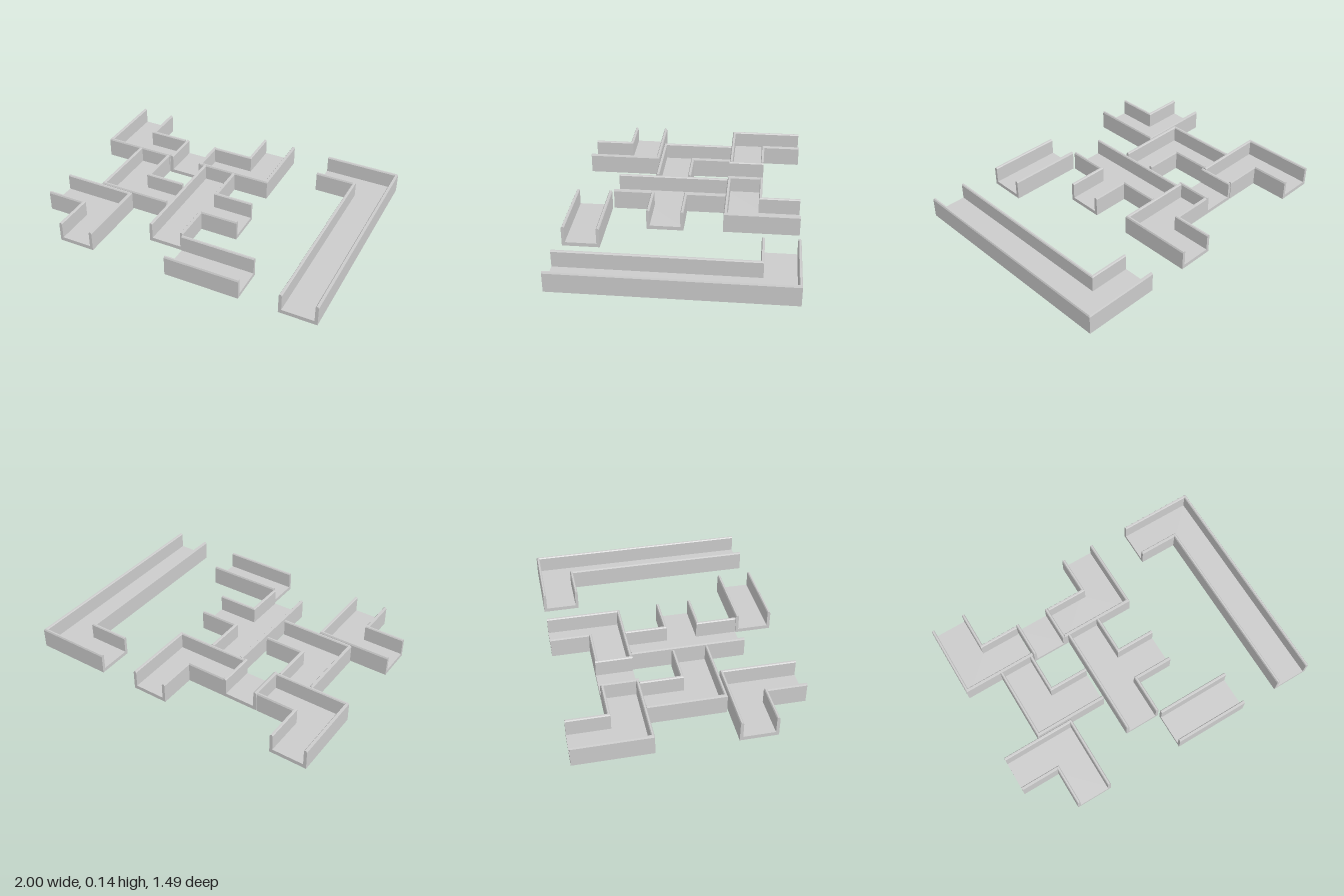
import * as THREE from 'three';

const FLOOR = 0.025;

// Wall cross-section: [distance inward from the outer face, height]
const SECTION = [[0, FLOOR], [0, 0.125], [0.005, 0.135], [0.015, 0.135], [0.02, 0.128], [0.02, FLOOR]];

// Each channel is a list of wall runs [x, z], clockwise from above; gaps between runs are open ends.
const CHANNELS = {
  cornerBackRight: [
    [[-0.755, -0.745], [-0.755, -0.495], [-0.505, -0.495]],
    [[-0.505, -0.255], [-1, -0.255], [-1, -0.745]],
  ],
  shortLink: [
    [[-0.26, -0.495], [-0.26, -0.255]],
    [[-0.5, -0.255], [-0.5, -0.495]],
  ],
  cornerBackMiddle: [
    [[-0.26, -0.495], [0, -0.495], [0, -0.745]],
    [[0.24, -0.745], [0.24, -0.255], [-0.26, -0.255]],
  ],
  cornerMiddle: [
    [[-0.51, -0.255], [-0.51, 0], [-0.26, 0]],
    [[-0.26, 0.24], [-0.75, 0.24], [-0.75, -0.255]],
  ],
  teeJunction: [
    [[0, -0.255], [0, 0], [0.25, 0]],
    [[0.25, 0.24], [0, 0.24], [0, 0.49]],
    [[-0.24, 0.49], [-0.24, -0.255]],
  ],
  cornerFrontRight: [
    [[-1, 0.25], [-0.51, 0.25], [-0.51, 0.74]],
    [[-0.75, 0.74], [-0.75, 0.49], [-1, 0.49]],
  ],
  straight: [
    [[0.005, 0.5], [0.5, 0.5]],
    [[0.5, 0.74], [0.005, 0.74]],
  ],
  longCorner: [
    [[0.5, -0.745], [1, -0.745], [1, 0.74]],
    [[0.755, 0.74], [0.755, -0.505], [0.5, -0.505]],
  ],
};

// Sweeps the wall section along a right-angled run with mitred corners
function wallGeometry(run) {
  const normals = run.slice(1).map(([x, z], i) => {
    const dx = Math.sign(x - run[i][0]);
    const dz = Math.sign(z - run[i][1]);
    return [-dz, dx];
  });
  const rings = run.map(([x, z], i) => {
    const touching = [normals[i - 1], normals[i]].filter(Boolean);
    const nx = touching.reduce((s, n) => s + n[0], 0);
    const nz = touching.reduce((s, n) => s + n[1], 0);
    return SECTION.map(([d, y]) => [x + nx * d, y, z + nz * d]);
  });
  const pos = [];
  const tri = (a, b, c) => pos.push(...a, ...b, ...c);
  const count = SECTION.length;
  for (let i = 0; i < rings.length - 1; i++) {
    for (let j = 0; j < count - 1; j++) {
      const [a, b] = [rings[i][j], rings[i][j + 1]];
      const [d, c] = [rings[i + 1][j], rings[i + 1][j + 1]];
      tri(a, b, c);
      tri(a, c, d);
    }
  }
  // End caps
  const first = rings[0];
  const last = rings[rings.length - 1];
  for (let j = 1; j < count - 1; j++) {
    tri(first[0], first[j + 1], first[j]);
    tri(last[0], last[j], last[j + 1]);
  }
  const geo = new THREE.BufferGeometry();
  geo.setAttribute('position', new THREE.Float32BufferAttribute(pos, 3));
  geo.computeVertexNormals();
  return geo;
}

// Flat slab whose outline joins all the wall runs
function floorGeometry(runs) {
  const outline = runs.flat().map(([x, z]) => new THREE.Vector2(x, -z));
  const geo = new THREE.ExtrudeGeometry(new THREE.Shape(outline), { depth: FLOOR, bevelEnabled: false });
  return geo.rotateX(-Math.PI / 2);
}

export function createModel() {
  const model = new THREE.Group();
  model.name = 'channelSet';
  const material = new THREE.MeshStandardMaterial({ color: 0xcccccc });
  for (const [name, runs] of Object.entries(CHANNELS)) {
    const channel = new THREE.Group();
    channel.name = name;
    const floor = new THREE.Mesh(floorGeometry(runs), material);
    floor.name = 'floor';
    channel.add(floor);
    runs.forEach((run, i) => {
      const wall = new THREE.Mesh(wallGeometry(run), material);
      wall.name = `wall${i + 1}`;
      channel.add(wall);
    });
    model.add(channel);
  }
  return model;
}
